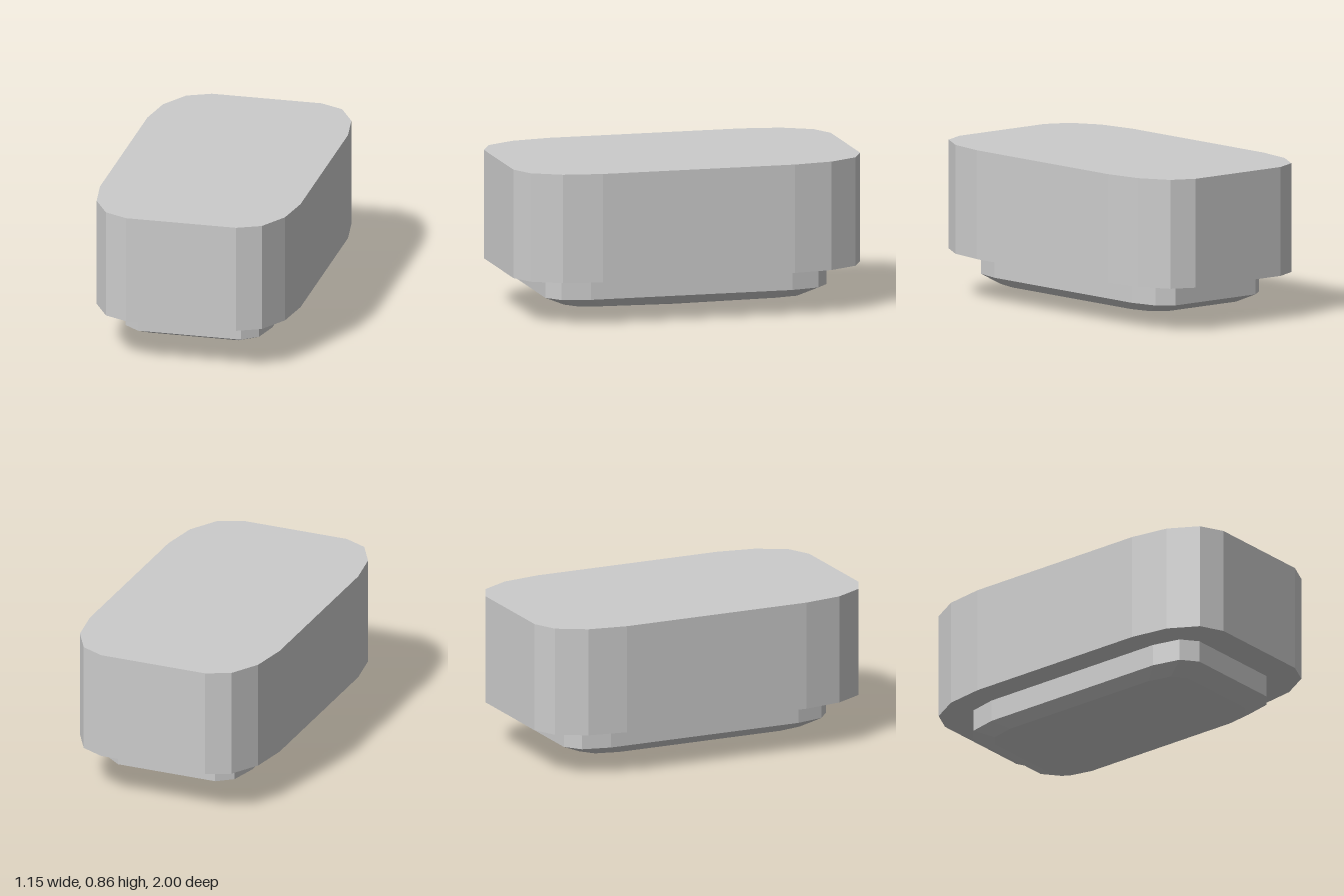
import * as THREE from 'three';

const material = new THREE.MeshStandardMaterial({ color: 0xcccccc, flatShading: true });

// Mirror one quarter of an outline (side to front) into a closed loop of [x, z]
function mirrorOutline(quarter) {
  const back = [...quarter].reverse();
  return [
    ...quarter,
    ...back.map(([x, z]) => [-x, z]),
    ...quarter.map(([x, z]) => [-x, -z]),
    ...back.map(([x, z]) => [x, -z]),
  ];
}

// Skin an outline through levels of [y, scale], from bottom to top; scale 0 is a point
function loft(name, outline, levels) {
  const positions = [];
  const n = outline.length;
  const point = ([y, s], i) => {
    const [x, z] = outline[i % n];
    return [x * s, y, z * s];
  };
  for (let k = 0; k < levels.length - 1; k++) {
    const low = levels[k], high = levels[k + 1];
    for (let i = 0; i < n; i++) {
      const a = point(low, i), b = point(low, i + 1);
      const c = point(high, i + 1), d = point(high, i);
      if (low[1] > 0) positions.push(...a, ...d, ...b);
      if (high[1] > 0) positions.push(...b, ...d, ...c);
    }
  }
  const geometry = new THREE.BufferGeometry();
  geometry.setAttribute('position', new THREE.Float32BufferAttribute(positions, 3));
  geometry.computeVertexNormals();
  const mesh = new THREE.Mesh(geometry, material);
  mesh.name = name;
  return mesh;
}

export function createModel() {
  const group = new THREE.Group();
  group.name = 'cappedBlock';

  // Wide upper block with rounded corners
  const blockOutline = mirrorOutline([[0.575, 0.555], [0.54, 0.775], [0.447, 0.938], [0.315, 1]]);
  group.add(loft('upperBlock', blockOutline, [[0.253, 0], [0.253, 1], [0.867, 1], [0.867, 0]]));

  // Narrower base: straight band, bevel and shallow point underneath
  const baseOutline = mirrorOutline([[0.42, 0.58], [0.383, 0.74], [0.295, 0.81]]);
  group.add(loft('pointedBase', baseOutline, [[0.003, 0], [0.077, 0.855], [0.128, 1], [0.253, 1]]));

  return group;
}
